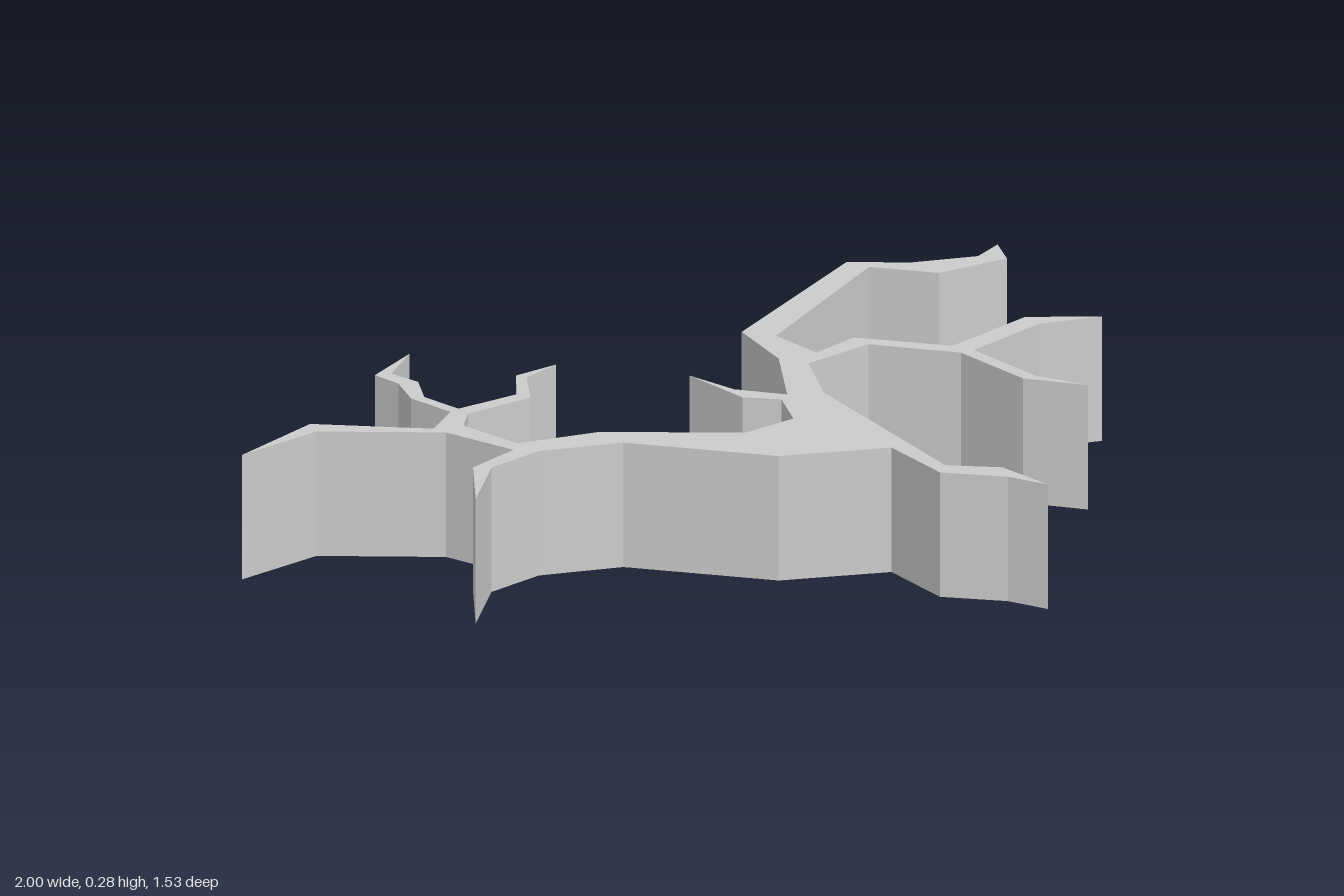
import * as THREE from 'three';

const HEIGHT = 0.28;

// Plan outline of the branching body as [x, z] corners, limb by limb around the edge.
const root = [[-0.065, 0.365], [-0.11, 0.54], [-0.035, 0.665], [-0.015, 0.76], [0, 0.62], [-0.07, 0.52]];

const rightFork = [[0.09, 0.04], [0.20, -0.10], [0.37, -0.08], [0.46, 0.10]];
const rightLowerTwigs = [
  [0.43, 0.30], [0.49, 0.43], [0.46, 0.31], [0.49, 0.11],
  [0.70, 0.11], [0.82, 0.18], [0.71, 0.06], [0.48, 0.06],
];
const rightLongLimb = [
  [0.38, -0.13], [0.26, -0.13], [0.28, -0.26], [0.72, -0.385], [0.79, -0.25], [0.95, -0.20],
  [1, -0.27], [0.92, -0.255], [0.80, -0.335], [0.71, -0.44], [0.25, -0.33], [0.18, -0.165],
];

const middleTwig = [[0.03, -0.01], [-0.02, -0.115], [-0.02, -0.24], [-0.045, -0.07], [0, 0]];

const leftForkInner = [[-0.07, 0.095], [-0.20, 0.075], [-0.40, -0.16], [-0.565, -0.245], [-0.56, -0.40]];
const leftInnerTwig = [
  [-0.50, -0.44], [-0.34, -0.405], [-0.255, -0.49], [-0.155, -0.495],
  [-0.26, -0.515], [-0.345, -0.44], [-0.49, -0.475],
];
const leftBackTwig = [
  [-0.485, -0.575], [-0.425, -0.645], [-0.425, -0.72], [-0.31, -0.77],
  [-0.455, -0.74], [-0.46, -0.67], [-0.51, -0.59], [-0.515, -0.475],
];
const leftOuterTwig = [[-0.615, -0.435], [-0.765, -0.65], [-1, -0.635], [-0.79, -0.61], [-0.615, -0.40]];
const leftSideTwig = [[-0.60, -0.225], [-0.735, -0.22], [-0.875, -0.09], [-0.71, -0.19], [-0.57, -0.18]];
const leftForkOuter = [[-0.415, -0.08], [-0.26, 0.22]];

export function createModel() {
  const group = new THREE.Group();
  group.name = 'branchingBlock';

  // Join the limbs into one closed outline
  const outline = [
    ...root, ...rightFork, ...rightLowerTwigs, ...rightLongLimb, ...middleTwig,
    ...leftForkInner, ...leftInnerTwig, ...leftBackTwig, ...leftOuterTwig, ...leftSideTwig, ...leftForkOuter,
  ];
  const shape = new THREE.Shape(outline.map(([x, z]) => new THREE.Vector2(x, z)));

  // Extrude it straight up with sharp, vertical walls
  const geometry = new THREE.ExtrudeGeometry(shape, { depth: HEIGHT, bevelEnabled: false });
  geometry.rotateX(Math.PI / 2);
  geometry.translate(0, HEIGHT, 0);

  const material = new THREE.MeshStandardMaterial({ color: 0xcccccc, flatShading: true });
  const body = new THREE.Mesh(geometry, material);
  body.name = 'branches';
  group.add(body);
  return group;
}
